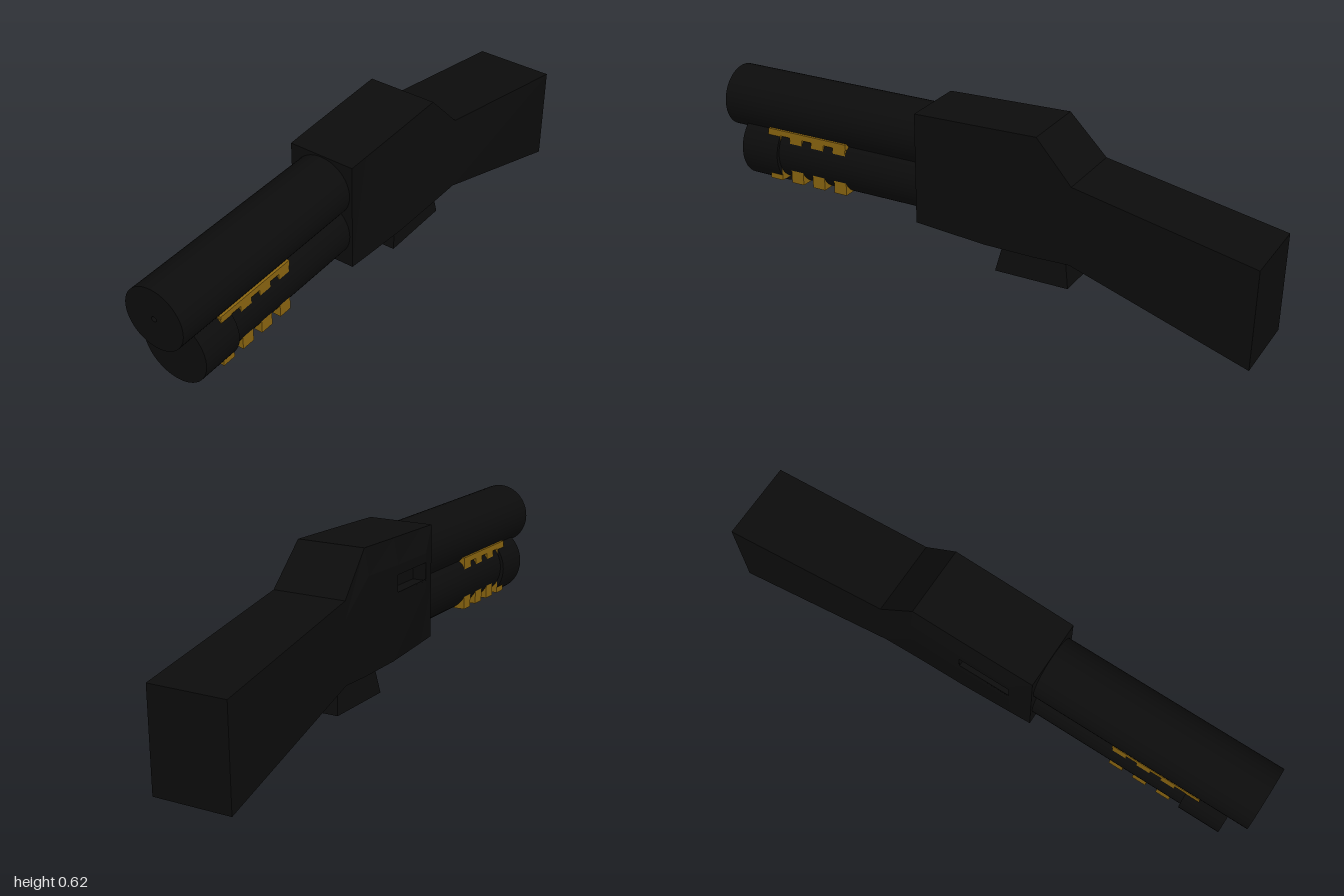
import * as THREE from 'three';

const black = new THREE.MeshStandardMaterial({ color: 0x0c0c0c });
const blackFlat = new THREE.MeshStandardMaterial({ color: 0x0c0c0c, flatShading: true });
const brass = new THREE.MeshStandardMaterial({ color: 0x8a6510, flatShading: true });

function add(group, name, geometry, material) {
  const mesh = new THREE.Mesh(geometry, material);
  mesh.name = name;
  group.add(mesh);
  return mesh;
}

// Cylinder along z from z0 to z1
function tube(radius, y, z0, z1) {
  return new THREE.CylinderGeometry(radius, radius, z1 - z0, 48)
    .rotateX(Math.PI / 2).translate(0, y, (z0 + z1) / 2);
}

// Box given by half width, then y and z ranges
function block(halfX, y0, y1, z0, z1) {
  return new THREE.BoxGeometry(halfX * 2, y1 - y0, z1 - z0)
    .translate(0, (y0 + y1) / 2, (z0 + z1) / 2);
}

// Receiver and stock: one loft of cross-sections, with a gap for the port
function bodyGeometry() {
  // z, top, bottom, half width at top, at bottom, width of the port-side bulge
  const sections = [
    [0.21, 0.61, 0.215, 0.12, 0.12, 0.12],
    [0.135, 0.612, 0.21, 0.121, 0.122, 0.14],
    [-0.055, 0.616, 0.198, 0.123, 0.126, 0.141],
    [-0.24, 0.62, 0.198, 0.124, 0.129, 0.14],
    [-0.37, 0.48, 0.205, 0.133, 0.135, 0.135],
    [-1, 0.35, 0, 0.142, 0.142, 0.142],
  ];
  const rows = [0.21, 0.29, 0.43, 0.52];
  const rings = sections.map(([z, top, bottom, wt, wb, bulge]) => {
    const zb = z === -1 ? -0.993 : z;
    return [
      [wb, bottom, zb], [wt, top, z], [-wt, top, z],
      ...rows.map((t) => [-bulge, top + (bottom - top) * t, z + (zb - z) * t]),
      [-wb, bottom, zb],
    ];
  });
  const n = rings[0].length;
  const index = [];
  for (let s = 0; s < rings.length - 1; s++) {
    for (let i = 0; i < n; i++) {
      if (s === 1 && i === 4) continue; // port opening
      const a = s * n + i, b = s * n + (i + 1) % n;
      index.push(a, a + n, b + n, a, b + n, b);
    }
  }
  const back = (rings.length - 1) * n;
  for (let i = 1; i < n - 1; i++) {
    index.push(0, i, i + 1, back, back + i + 1, back + i);
  }
  const geometry = new THREE.BufferGeometry();
  geometry.setAttribute('position', new THREE.Float32BufferAttribute(rings.flat(2), 3));
  geometry.setIndex(index);
  const flat = geometry.toNonIndexed();
  flat.computeVertexNormals();
  return flat;
}

// Trigger guard: side profile with a narrow gap on top, tapering upward
function guardGeometry() {
  const profile = [
    [-0.075, 0.088], [-0.105, 0.215], [-0.165, 0.215], [-0.165, 0.185],
    [-0.25, 0.185], [-0.25, 0.215], [-0.325, 0.215], [-0.345, 0.088],
  ].map(([z, y]) => new THREE.Vector2(z, y));
  const geometry = new THREE.ExtrudeGeometry(new THREE.Shape(profile), { depth: 2, bevelEnabled: false })
    .rotateY(-Math.PI / 2).translate(1, 0, 0);
  const p = geometry.attributes.position;
  for (let i = 0; i < p.count; i++) {
    p.setX(i, p.getX(i) * (0.087 - 0.11 * (p.getY(i) - 0.088)));
  }
  geometry.computeVertexNormals();
  return geometry;
}

export function createModel() {
  const model = new THREE.Group();
  model.name = 'shotgun';

  add(model, 'receiverAndStock', bodyGeometry(), blackFlat);

  // Port recess: a box turned inside out behind the opening
  const recess = new THREE.BoxGeometry(0.05, 0.062, 0.19).scale(-1, 1, 1);
  recess.computeVertexNormals();
  add(model, 'ejectionPort', recess.translate(-0.1155, 0.464, 0.04), blackFlat);

  add(model, 'triggerGuard', guardGeometry(), blackFlat);

  // Barrel with a tiny bore in its muzzle
  const r = 0.11;
  const outline = [[0, 0.97], [0.009, 0.97], [0.009, 1], [r, 1], [r, 0.15]];
  const corners = [];
  outline.slice(1).forEach((end, i) => { // doubled points keep the rims sharp
    corners.push(new THREE.Vector2(...outline[i]), new THREE.Vector2(...end));
  });
  const barrel = new THREE.Group();
  barrel.name = 'barrel';
  for (let i = 0; i < corners.length; i += 2) {
    const part = new THREE.LatheGeometry([corners[i + 1], corners[i]], 48)
      .rotateX(Math.PI / 2).translate(0, 0.495, 0);
    add(barrel, 'barrelSurface', part, black);
  }
  model.add(barrel);

  // Magazine tube and its wider end cap
  add(model, 'magazineTube', tube(0.11, 0.335, 0.15, 0.8), black);
  add(model, 'magazineCap', tube(0.122, 0.331, 0.78, 0.93), black);

  // Brass fore-grip: four ribs joined by a rail on each side of the top
  const grip = new THREE.Group();
  grip.name = 'foreGrip';
  for (let i = 0; i < 4; i++) {
    const z = 0.508 + i * 0.0905;
    add(grip, 'gripRib', block(0.097, 0.237, 0.42, z, z + 0.05), brass);
  }
  add(grip, 'gripRail', block(0.097, 0.408, 0.429, 0.505, 0.828), brass);
  model.add(grip);

  return model;
}
